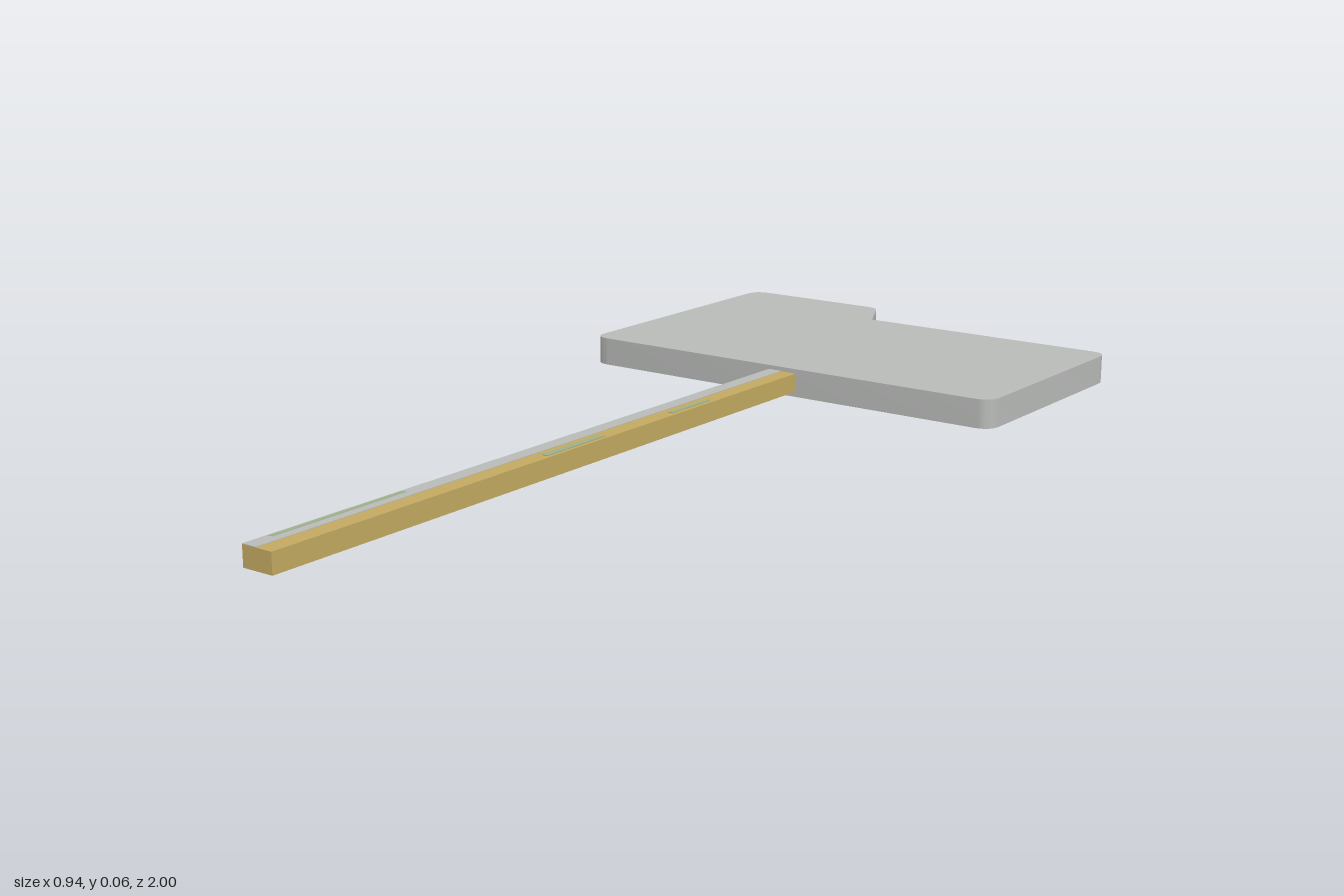
import * as THREE from 'three';
import { toCreasedNormals } from 'three/addons/utils/BufferGeometryUtils.js';

const mat = (name, color) => {
  const m = new THREE.MeshStandardMaterial({ color });
  m.name = name;
  return m;
};

export function createModel() {
  const group = new THREE.Group();
  const grey = mat('board grey', 0xb9bbb9);
  const wood = mat('wood tan', 0xc4aa62);
  const green = mat('worn green', 0x9db08a);

  const add = (name, geometry, material) => {
    const mesh = new THREE.Mesh(geometry, material);
    mesh.name = name;
    group.add(mesh);
    return mesh;
  };
  // Box given by its limits on each axis
  const block = (name, x0, x1, y0, y1, z0, z1, material) =>
    add(name, new THREE.BoxGeometry(x1 - x0, y1 - y0, z1 - z0), material)
      .position.set((x0 + x1) / 2, (y0 + y1) / 2, (z0 + z1) / 2);

  // Board: folder outline with rounded corners and a raised tab
  const s = new THREE.Shape();
  const r = 0.036;
  s.moveTo(-0.468 + r, 0.395);
  s.lineTo(0.467 - r, 0.395);
  s.quadraticCurveTo(0.467, 0.395, 0.467, 0.395 + r);
  s.lineTo(0.467, 0.888 - r);
  s.quadraticCurveTo(0.467, 0.888, 0.467 - r, 0.888);
  s.lineTo(-0.088, 0.888);
  s.lineTo(-0.132, 0.978);
  s.quadraticCurveTo(-0.143, 1, -0.168, 1);
  s.lineTo(-0.468 + r, 1);
  s.quadraticCurveTo(-0.468, 1, -0.468, 1 - r);
  s.lineTo(-0.468, 0.395 + r);
  s.quadraticCurveTo(-0.468, 0.395, -0.468 + r, 0.395);
  const board = new THREE.ExtrudeGeometry(s, { depth: 0.056, bevelEnabled: false, curveSegments: 8 });
  board.rotateX(-Math.PI / 2);
  add('board', toCreasedNormals(board, 0.4), grey);

  // Handle with a grey strip along the top
  block('handle', -0.027, 0.035, 0.01, 0.047, -0.4, 1, wood);
  block('handleStrip', -0.027, 0.002, 0.047, 0.048, -0.395, 1, grey);

  // Worn patches on the top of the handle
  for (const [x, w, z0, z1] of [
    [0.022, 0.009, -0.12, 0], [0.022, 0.012, 0.2, 0.36], [-0.02, 0.009, 0.66, 0.95],
  ]) block('wornPatch', x - w / 2, x + w / 2, 0.047, 0.0485, z0, z1, green);

  return group;
}
